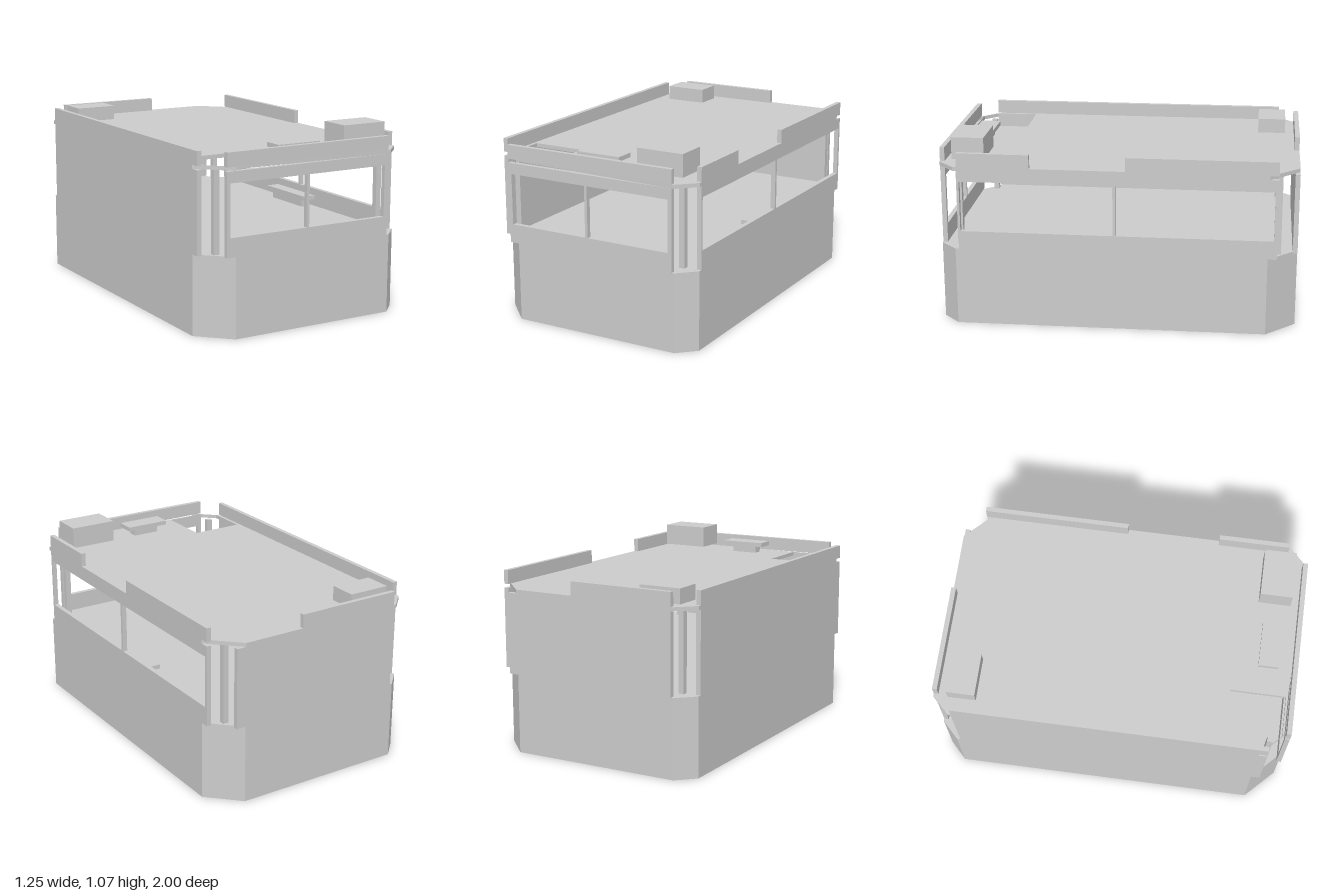
import * as THREE from 'three';

const W = 0.627, T = 0.027; // half width, wall thickness
const BASE = 0.445, SLAB = 0.9, ROOF = 0.922, TOP = 1;

export function createModel() {
  const group = new THREE.Group();
  const grey = new THREE.MeshStandardMaterial({ color: 0xcccccc });
  grey.name = 'light grey';

  const add = (name, geometry) => {
    const mesh = new THREE.Mesh(geometry, grey);
    mesh.name = name;
    group.add(mesh);
    return mesh;
  };

  // box given by its limits on each axis
  const box = (name, x0, x1, y0, y1, z0, z1) => {
    const mesh = add(name, new THREE.BoxGeometry(x1 - x0, y1 - y0, z1 - z0));
    mesh.position.set((x0 + x1) / 2, (y0 + y1) / 2, (z0 + z1) / 2);
  };

  // horizontal plate from an [x, z] outline
  const plate = (name, outline, y0, y1) => {
    const shape = new THREE.Shape(outline.map(([x, z]) => new THREE.Vector2(x, -z)));
    const geometry = new THREE.ExtrudeGeometry(shape, { depth: y1 - y0, bevelEnabled: false });
    geometry.rotateX(-Math.PI / 2).translate(0, y0, 0);
    add(name, geometry);
  };

  // upright wall facing +z with window openings, given as [from, to]
  const windowWall = (name, half, windows) => {
    const rect = (s, a, b, y0, y1) =>
      s.moveTo(a, y0).lineTo(b, y0).lineTo(b, y1).lineTo(a, y1).lineTo(a, y0);
    const shape = rect(new THREE.Shape(), -half, half, BASE, SLAB);
    for (const [a, b] of windows) shape.holes.push(rect(new THREE.Path(), a, b, 0.55, 0.838));
    return add(name, new THREE.ExtrudeGeometry(shape, { depth: T, bevelEnabled: false }));
  };

  // solid base with two small and two large cut corners
  const rightSide = [[0.53, 1], [W, 0.905], [W, -0.835], [0.46, -1]];
  const leftSide = rightSide.map(([x, z]) => [-x, -z]);
  plate('base', [...rightSide, ...leftSide], 0, BASE);

  // roof slab, its hatch opening breaking through the large front corner
  const hatch = [[-0.58, 0.882], [-0.58, 0.64], [-0.275, 0.64], [-0.275, 0.955], [-0.506, 0.955]];
  plate('roof', [...rightSide, ...leftSide, ...hatch], SLAB, ROOF);

  // walls between base and roof
  windowWall('frontWall', 0.515, [[-0.495, -0.02], [-0.004, 0.492]]).position.z = 1 - T;
  const side = windowWall('rightWindowWall', 0.885, [[-0.873, -0.02], [-0.003, 0.867]]);
  side.rotation.y = Math.PI / 2;
  side.position.x = W - T;
  box('backWall', -0.515, 0.515, BASE, SLAB, -1, -1 + T);
  box('plainSideWall', -W, -W + T, BASE, SLAB, -0.885, 0.885);

  // parapets, with gaps on one side and at the back
  box('frontParapet', -0.515, 0.515, ROOF, TOP, 1 - T, 1);
  box('backParapet', -0.515, 0.1, ROOF, TOP, -1, -1 + T);
  box('plainSideParapet', -W, -W + T, ROOF, TOP, -0.885, 0.885);
  box('windowSideParapetFront', W - T, W, ROOF, TOP, 0.48, 0.885);
  box('windowSideParapetBack', W - T, W, ROOF, TOP, -0.885, -0.05);

  // a post set inside each open corner
  for (const x of [-0.523, 0.523])
    for (const z of [-0.892, 0.892])
      box('cornerPost', x - 0.016, x + 0.016, BASE, SLAB, z - 0.016, z + 0.016);

  // rooftop units
  box('largeRoofUnit', 0.265, 0.54, 0.942, 1.067, 0.745, 0.927);
  box('smallRoofUnit', -0.525, -0.28, ROOF, 1.006, -0.92, -0.76);
  box('ventBase', -0.08, 0.08, ROOF, 0.965, 0.805, 0.865);
  box('ventCap', -0.133, 0.133, 0.965, 0.99, 0.78, 0.892);

  // counter behind the side windows
  box('counterBase', 0.52, 0.57, BASE, 0.49, -0.16, 0.16);
  box('counterTop', 0.505, 0.585, 0.49, 0.515, -0.2, 0.2);

  return group;
}
